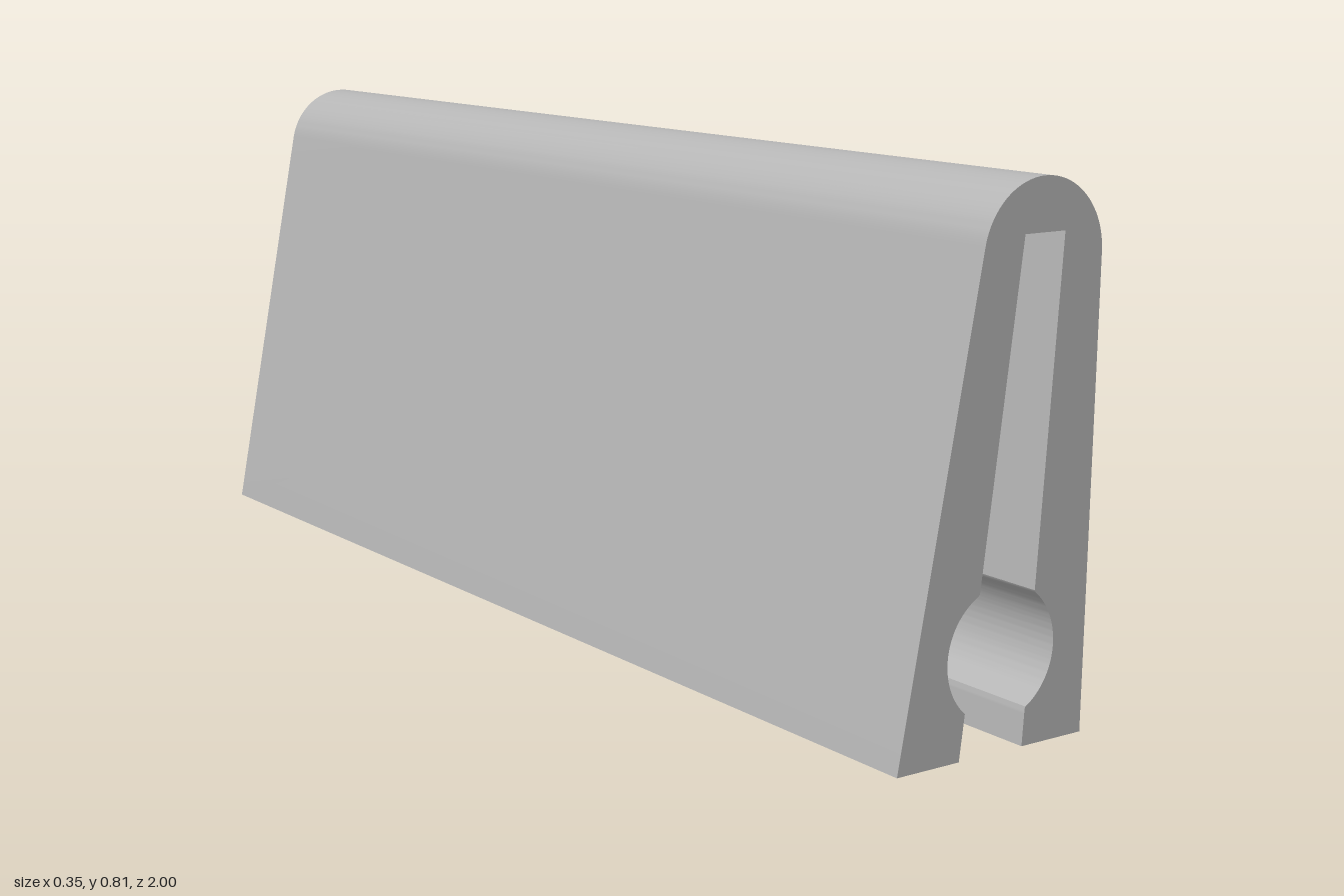
import * as THREE from 'three';
import { toCreasedNormals } from 'three/addons/utils/BufferGeometryUtils.js';

const HEIGHT = 0.73;              // ceiling of the slot and socket
const SOCKET_Z = 0.72;            // socket distance from the middle
const BORE = { x: 0.009, y: 0.144, r: 0.1 };

// Half width of the round bore at height y
const bore = (y) => Math.sqrt(Math.max(0, BORE.r ** 2 - (y - BORE.y) ** 2));
// Slot edges: tapered, leaning, widened by the bore
function slotLeft(y) {
  const x = -0.065 + 0.13 * y;
  return bore(y) > 0 ? Math.min(x, BORE.x - bore(y)) : x;
}
function slotRight(y) {
  const x = 0.054 + 0.07 * y;
  return bore(y) > 0 ? Math.max(x, BORE.x + bore(y)) : x;
}
// Leaning, tapered socket that closes the slot
const socketX = (y) => -0.007 + 0.1 * y;
const socketR = (y) => 0.108 - 0.05 * y;
const angleAt = (x, y) => Math.acos(THREE.MathUtils.clamp((x - socketX(y)) / socketR(y), -1, 1));

// Socket wall at height y, from the right slot edge round to the left one
function socketRow(y, n = 40) {
  const from = angleAt(slotRight(y), y);
  const to = angleAt(slotLeft(y), y) - Math.PI * 2;
  return Array.from({ length: n + 1 }, (_, i) => {
    const t = from + ((to - from) * i) / n;
    return new THREE.Vector3(socketX(y) + socketR(y) * Math.cos(t), y, SOCKET_Z + socketR(y) * Math.sin(t));
  });
}

// Skin between successive rows of points
function loft(rows) {
  const pos = [];
  const add = (...pts) => pts.forEach((p) => pos.push(p.x, p.y, p.z));
  for (let j = 0; j < rows.length - 1; j++) {
    const a = rows[j], b = rows[j + 1];
    for (let i = 0; i < a.length - 1; i++) {
      add(a[i], b[i], b[i + 1]);
      add(a[i], b[i + 1], a[i + 1]);
    }
  }
  const g = new THREE.BufferGeometry();
  g.setAttribute('position', new THREE.Float32BufferAttribute(pos, 3));
  return toCreasedNormals(g, 0.5);
}

// Copy mirrored in z with the corner order put right
function mirrorZ(geometry) {
  const g = geometry.index ? geometry.toNonIndexed() : geometry.clone();
  const p = g.attributes.position;
  const a = new THREE.Vector3(), b = new THREE.Vector3();
  for (let i = 0; i < p.count; i++) p.setZ(i, -p.getZ(i));
  for (let i = 0; i < p.count; i += 3) {
    a.fromBufferAttribute(p, i + 1);
    b.fromBufferAttribute(p, i + 2);
    p.setXYZ(i + 1, b.x, b.y, b.z);
    p.setXYZ(i + 2, a.x, a.y, a.z);
  }
  g.deleteAttribute('normal');
  return toCreasedNormals(g, 0.5);
}

export function createModel() {
  const model = new THREE.Group();
  model.name = 'slottedRail';
  const grey = new THREE.MeshStandardMaterial({ color: 0xb4b4b4 });
  grey.name = 'grey';
  const add = (name, geometry) => {
    const mesh = new THREE.Mesh(geometry, grey);
    mesh.name = name;
    model.add(mesh);
  };
  const V2 = (x, y) => new THREE.Vector2(x, y);

  // Outer profile: two straight flanks and a round top
  const outer = [V2(0.168, 0)];
  for (let i = 0; i <= 40; i++) {
    const t = THREE.MathUtils.degToRad(-0.7 + (170 * i) / 40);
    outer.push(V2(0.066 + 0.111 * Math.cos(t), 0.697 + 0.111 * Math.sin(t)));
  }
  outer.push(V2(-0.178, 0));

  // Heights, closer together across the bore
  const heights = [0, 0.02, 0.04];
  for (let i = 1; i <= 60; i++) heights.push(0.04 + (0.21 * i) / 60);
  for (let i = 1; i <= 8; i++) heights.push(0.25 + ((HEIGHT - 0.25) * i) / 8);

  // Slot outline: up the left, across the ceiling, down the right
  const slot = heights.map((y) => V2(slotLeft(y), y));
  for (let i = 1; i < 12; i++) {
    slot.push(V2(THREE.MathUtils.lerp(slotLeft(HEIGHT), slotRight(HEIGHT), i / 12), HEIGHT));
  }
  slot.push(...[...heights].reverse().map((y) => V2(slotRight(y), y)));

  // Flanks and rounded top
  add('outerShell', loft([1, -1].map((z) => outer.map((p) => new THREE.Vector3(p.x, p.y, z)))));

  // Underside with a keyhole at each end
  const row = socketRow(0).map((p) => V2(p.x, p.z));
  const half = [V2(0.168, 1), V2(slotRight(0), 1), ...row, V2(slotLeft(0), 1), V2(-0.178, 1)];
  const flipped = half.map((p) => V2(p.x, -p.y)).reverse();
  add('underside', new THREE.ShapeGeometry(new THREE.Shape([...half, ...flipped])).rotateX(Math.PI / 2));

  // Pieces of one end
  const slotInner = slot.map((p) => {
    const d = socketR(p.y) ** 2 - (p.x - socketX(p.y)) ** 2;
    return new THREE.Vector3(p.x, p.y, SOCKET_Z + Math.sqrt(Math.max(0, d)));
  });
  const endParts = {
    EndFace: new THREE.ShapeGeometry(new THREE.Shape([...outer, ...slot])).translate(0, 0, 1),
    SlotWall: loft([slot.map((p) => new THREE.Vector3(p.x, p.y, 1)), slotInner]),
    SocketWall: loft(heights.map((y) => socketRow(y))),
    SocketCeiling: new THREE.CircleGeometry(socketR(HEIGHT), 40)
      .rotateX(Math.PI / 2).translate(socketX(HEIGHT), HEIGHT, SOCKET_Z),
  };
  for (const [name, geometry] of Object.entries(endParts)) {
    add('front' + name, geometry);
    add('back' + name, mirrorZ(geometry));
  }
  return model;
}
